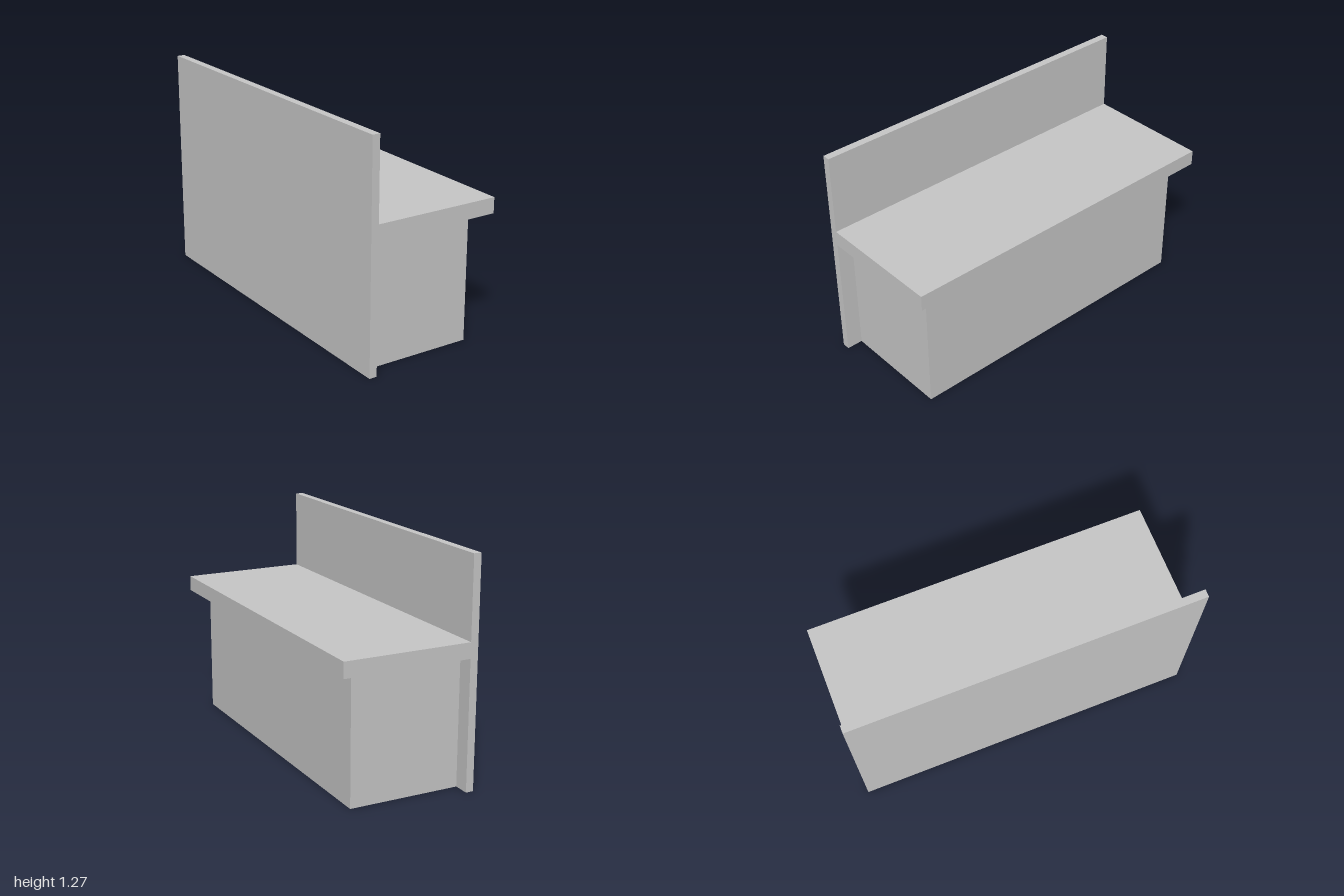
import * as THREE from 'three';

export function createModel() {
  const group = new THREE.Group();
  group.name = 'bench';
  const grey = new THREE.MeshStandardMaterial({ color: 0xc8c8c8 });
  grey.name = 'light grey';

  // Upright back panel and seat slab share one T-shaped section along z
  const section = new THREE.Shape([
    [-0.387, 0], [-0.343, 0], [-0.343, 0.73], [0.385, 0.73],
    [0.385, 0.818], [-0.343, 0.818], [-0.343, 1.275], [-0.387, 1.275],
  ].map(([x, y]) => new THREE.Vector2(x, y)));
  const panelGeometry = new THREE.ExtrudeGeometry(section, { depth: 2, bevelEnabled: false });
  panelGeometry.translate(0, 0, -1);
  const backAndSeat = new THREE.Mesh(panelGeometry, grey);
  backAndSeat.name = 'backAndSeat';
  group.add(backAndSeat);

  // Solid base, set in from the seat at both ends and along the edge
  const base = new THREE.Mesh(new THREE.BoxGeometry(0.637, 0.73, 1.816), grey);
  base.position.set(-0.0245, 0.365, 0);
  base.name = 'base';
  group.add(base);

  return group;
}
